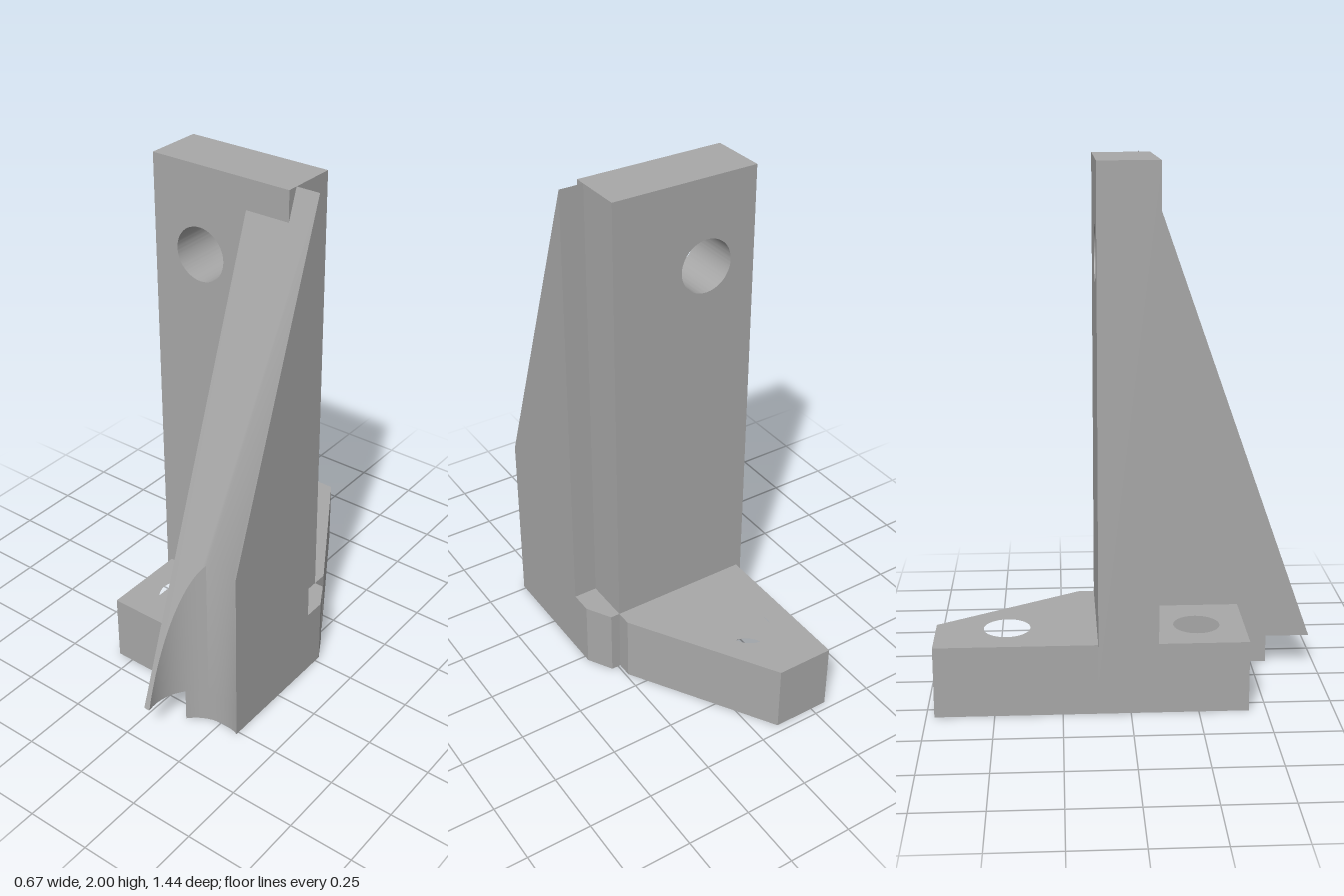
import * as THREE from 'three';
import { toCreasedNormals } from 'three/addons/utils/BufferGeometryUtils.js';

const STEP = 0.135;              // underside of the plate and rib
const BASE_TOP = 0.27;
const RIGHT = 0.332;             // outer face of the rib
const CUT = { x: 0.265, z: 0.68, r: 0.18 };  // round relief in the rib

const circleZ = (x) => CUT.z - Math.sqrt(CUT.r ** 2 - (x - CUT.x) ** 2);

// Points along the relief, from its outer end to the given angle
function reliefArc(endAngle) {
  const start = Math.acos((RIGHT - CUT.x) / CUT.r);
  const points = [];
  for (let i = 0; i <= 32; i++) {
    const a = start + (endAngle - start) * i / 32;
    points.push([CUT.x + CUT.r * Math.cos(a), CUT.z - CUT.r * Math.sin(a)]);
  }
  return points;
}

function outline(points, holes = []) {
  const shape = new THREE.Shape(points.map(([x, y]) => new THREE.Vector2(x, y)));
  for (const [x, y, r] of holes) {
    shape.holes.push(new THREE.Path().absarc(x, y, r, 0, Math.PI * 2, true));
  }
  return shape;
}

const extrude = (shape, depth) =>
  new THREE.ExtrudeGeometry(shape, { depth, bevelEnabled: false, curveSegments: 48 });

// Extrudes a plan outline (x, z) upward between two heights
function slab(points, y0, y1, holes = []) {
  const flip = ([x, z, ...rest]) => [x, -z, ...rest];
  return extrude(outline(points.map(flip), holes.map(flip)), y1 - y0)
    .rotateX(-Math.PI / 2).translate(0, y0, 0);
}

export function createModel() {
  const group = new THREE.Group();
  const grey = new THREE.MeshStandardMaterial({ color: 0xa8a8a8 });
  grey.name = 'plain grey';
  const add = (name, geometry) => {
    const mesh = new THREE.Mesh(toCreasedNormals(geometry, 0.5), grey);
    mesh.name = name;
    group.add(mesh);
  };

  // Base: slanted rear edge with a small notch, and two bolt holes
  const rear = [[-0.315, -0.72], [-0.09, -0.72], [0.24, -0.18], [0.24, -0.12],
    [0.277, -0.12], [RIGHT, -0.025]];
  const boltHoles = [[-0.135, -0.455, 0.087], [-0.135, 0.255, 0.087]];
  const footEnd = Math.PI - Math.acos((CUT.x - 0.13) / CUT.r);
  add('baseLower', slab([...rear, ...reliefArc(footEnd), [0.13, 0.435], [-0.315, 0.435]],
    0, STEP, boltHoles));
  add('baseUpper', slab([...rear, [RIGHT, 0.06], [0.065, 0.06], [0.065, 0.435], [-0.315, 0.435]],
    STEP, BASE_TOP, boltHoles));

  // Upright plate with a cross hole
  const plate = outline([[-0.335, STEP], [0.24, STEP], [0.24, 2], [-0.335, 2]],
    [[-0.135, 1.67, 0.102]]);
  add('uprightPlate', extrude(plate, 0.22).translate(0, 0, -0.12));

  // Rib: plan outline whose top is sheared down toward the front
  const tipAngle = Math.PI + Math.asin((0.72 - CUT.z) / CUT.r);
  const rib = slab([[0.065, 0.06], [RIGHT, 0.06], ...reliefArc(tipAngle), [0.065, 0.72]], STEP, 2);
  const pos = rib.attributes.position;
  const slope = (2 - STEP) / (0.72 - 0.06);
  for (let i = 0; i < pos.count; i++) {
    if (pos.getY(i) > 1) pos.setY(i, 2 - (pos.getZ(i) - 0.06) * slope);
  }
  add('slopedRib', rib);

  return group;
}
